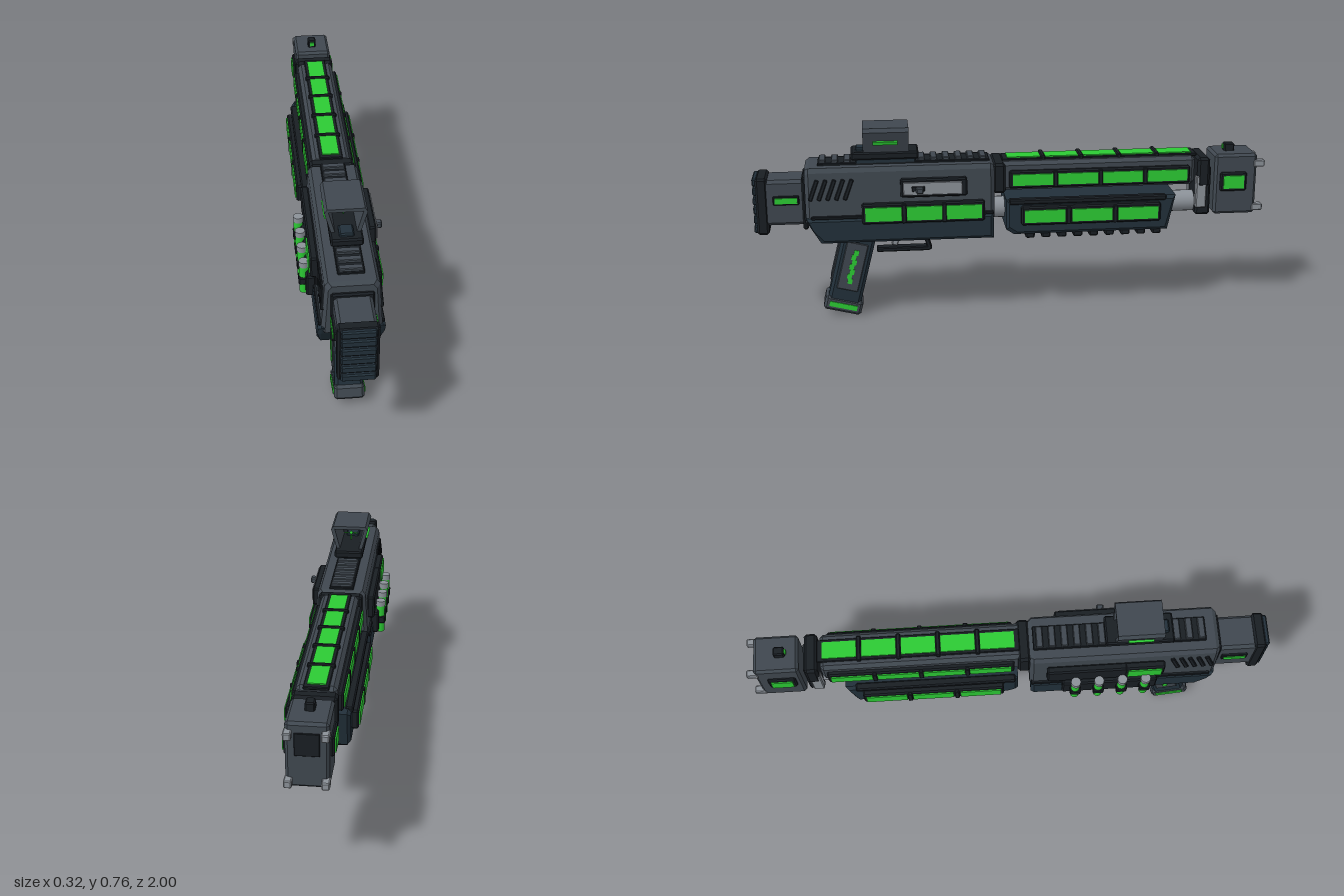
import * as THREE from 'three';
import { ConvexGeometry } from 'three/addons/geometries/ConvexGeometry.js';

const mat = (name, color) => Object.assign(new THREE.MeshStandardMaterial({ color }), { name });

export function createModel() {
  const grey = mat('gunmetal grey', 0x3f474f);
  const navy = mat('dark slate', 0x22303a);
  const black = mat('near black', 0x191e23);
  const green = mat('glow green', 0x2ccb34);
  const steel = mat('light steel', 0x8b9198);

  const root = new THREE.Group();
  root.name = 'blaster';
  const body = new THREE.Group();
  body.name = 'body';
  body.position.x = 0.005;
  root.add(body);

  const add = (name, geo, m, x = 0, y = 0, z = 0, parent = body) => {
    const mesh = new THREE.Mesh(geo, m);
    mesh.name = name;
    mesh.position.set(x, y, z);
    parent.add(mesh);
    return mesh;
  };
  const hull = (pts) => new ConvexGeometry(pts.map((p) => new THREE.Vector3(...p)));
  // box with chamfered edges
  const box = (name, m, w, h, d, x, y, z, c = 0.006, parent = body) => {
    const pts = [];
    for (const i of [-1, 1]) for (const j of [-1, 1]) for (const k of [-1, 1]) {
      const [a, b, e] = [w / 2, h / 2, d / 2];
      pts.push([i * a, j * (b - c), k * (e - c)], [i * (a - c), j * b, k * (e - c)], [i * (a - c), j * (b - c), k * e]);
    }
    const geo = c > 0 ? hull(pts) : new THREE.BoxGeometry(w, h, d);
    return add(name, geo, m, x, y, z, parent);
  };
  // side profile [z, y] spread across x, with chamfered flanks
  const slab = (name, m, profile, half, c = 0.012) => {
    const n = profile.length;
    const cz = profile.reduce((s, p) => s + p[0], 0) / n, cy = profile.reduce((s, p) => s + p[1], 0) / n;
    const pts = [];
    for (const s of [-1, 1]) for (const [z, y] of profile) {
      pts.push([s * (half - c), y, z], [s * half, y - Math.sign(y - cy) * c, z - Math.sign(z - cz) * c]);
    }
    return add(name, hull(pts), m);
  };
  const both = (fn) => [-1, 1].forEach(fn);
  // framed row of glowing windows on one flank
  const windowRow = (name, s, x, y, h, zs, w) => {
    const z0 = Math.min(...zs) - w / 2, z1 = Math.max(...zs) + w / 2;
    box(name + 'Frame', black, 0.03, h + 0.025, z1 - z0 + 0.025, s * (x - 0.015), y, (z0 + z1) / 2);
    zs.forEach((z) => box(name + 'Window', green, 0.008, h, w, s * (x + 0.001), y, z, 0));
    for (let i = 1; i < zs.length; i++)
      box(name + 'Divider', black, 0.014, h + 0.02, 0.018, s * x, y, (zs[i] + zs[i - 1]) / 2, 0.003);
  };

  // upper receiver: tapered cross-section with chamfered ends
  const ring = [[0.107, 0.42], [0.105, 0.45], [0.095, 0.605], [0.083, 0.622]];
  const rec = [];
  both((s) => ring.forEach(([x, y]) => {
    rec.push([s * x, y, 0.09], [s * x, y, 0.785], [s * (x - 0.012), y - 0.01, 0.075], [s * (x - 0.012), y - 0.01, 0.8]);
  }));
  add('upperReceiver', hull(rec), grey);
  slab('lowerReceiver', navy, [[0.08, 0.43], [0.8, 0.43], [0.785, 0.395], [0.745, 0.328], [0.08, 0.328]], 0.118);
  box('receiverSeam', black, 0.232, 0.012, 0.7, 0, 0.432, 0.43, 0.003);
  box('receiverRearPlate', black, 0.15, 0.21, 0.02, 0, 0.48, 0.802);

  // slanted vents
  both((s) => {
    for (let i = 0; i < 5; i++) {
      const v = box('sideVent', black, 0.014, 0.085, 0.016, s * 0.1, 0.54, 0.635 + i * 0.033, 0.003);
      v.rotation.set(-0.36, 0, s * 0.07);
    }
  });

  // receiver windows, left panel, bolt
  windowRow('receiver', 1, 0.131, 0.446, 0.055, [0.197, 0.347, 0.505], 0.138);
  windowRow('leftPanel', -1, 0.128, 0.53, 0.06, [0.515], 0.13);
  box('leftShellPlate', black, 0.03, 0.09, 0.42, -0.112, 0.525, 0.35);
  box('boltFrame', black, 0.03, 0.072, 0.255, 0.112, 0.543, 0.31);
  box('boltPlate', steel, 0.008, 0.05, 0.225, 0.128, 0.543, 0.315, 0.002);
  box('boltSlot', black, 0.008, 0.02, 0.05, 0.132, 0.543, 0.37, 0.002);
  box('boltHandle', grey, 0.045, 0.024, 0.028, 0.133, 0.54, 0.365, 0.004);

  // spare shells on the left flank
  box('shellHolder', black, 0.035, 0.088, 0.37, -0.123, 0.43, 0.385);
  for (const z of [0.25, 0.34, 0.43, 0.52]) {
    add('shellBody', new THREE.CylinderGeometry(0.017, 0.017, 0.115, 12), green, -0.145, 0.433, z);
    add('shellCap', new THREE.CylinderGeometry(0.019, 0.019, 0.022, 12), steel, -0.145, 0.5, z);
    box('shellClip', black, 0.04, 0.03, 0.042, -0.145, 0.43, z, 0.004);
  }

  // top rail
  box('railBase', black, 0.095, 0.014, 0.66, 0, 0.624, 0.42, 0.003);
  for (let i = 0; i < 14; i++) box('railRib', grey, 0.085, 0.016, 0.026, 0, 0.634, 0.115 + i * 0.0475, 0.003);

  // stock
  box('stock', grey, 0.135, 0.18, 0.18, 0, 0.483, 0.875, 0.012);
  box('buttPlate', black, 0.142, 0.225, 0.045, 0, 0.47, 0.965, 0.008);
  for (let i = 0; i < 6; i++) box('buttRib', navy, 0.12, 0.029, 0.02, 0, 0.378 + i * 0.0375, 0.99, 0.005);
  both((s) => {
    box('stockLightFrame', black, 0.014, 0.035, 0.1, s * 0.07, 0.495, 0.873, 0.003);
    box('stockLight', green, 0.009, 0.022, 0.085, s * 0.076, 0.495, 0.873, 0);
  });

  // grip, leaning backwards
  const grip = new THREE.Group();
  grip.name = 'grip';
  grip.position.set(0, 0.335, 0.6);
  grip.rotation.x = -0.25;
  body.add(grip);
  box('gripCore', navy, 0.105, 0.32, 0.13, 0, -0.13, 0, 0.012, grip);
  box('gripBackPanel', grey, 0.078, 0.215, 0.012, 0, -0.1, 0.066, 0.003, grip);
  box('gripBase', grey, 0.112, 0.058, 0.15, 0, -0.298, 0, 0.01, grip);
  both((s) => {
    box('gripSidePanel', grey, 0.008, 0.2, 0.085, s * 0.052, -0.13, 0, 0.003, grip);
    for (let i = 0; i < 7; i++)
      box('gripLight', green, 0.008, 0.021, 0.018, s * 0.056, -0.07 - i * 0.02, i % 2 ? 0.003 : -0.003, 0, grip);
    box('gripBaseLight', green, 0.008, 0.02, 0.11, s * 0.056, -0.298, 0, 0, grip);
  });

  // trigger and guard
  box('guardBar', black, 0.04, 0.018, 0.21, 0, 0.262, 0.43, 0.004);
  box('guardPost', black, 0.04, 0.085, 0.018, 0, 0.297, 0.336, 0.004).rotation.x = 0.28;
  box('guardMount', navy, 0.06, 0.02, 0.24, 0, 0.325, 0.44, 0.004);
  box('trigger', steel, 0.025, 0.07, 0.025, 0, 0.31, 0.455, 0.004).rotation.x = -0.3;

  // sight
  box('sightMount', navy, 0.095, 0.025, 0.23, 0, 0.636, 0.49, 0.004);
  box('sightBase', black, 0.116, 0.03, 0.26, 0, 0.656, 0.493, 0.006);
  box('sightEmitter', navy, 0.052, 0.022, 0.06, 0, 0.672, 0.575, 0.005);
  const poly = (pts, Type) => new Type(pts.map(([x, y]) => new THREE.Vector2(x, y)));
  const hood = poly([[-0.05, 0.66], [0.05, 0.66], [0.076, 0.752], [0.066, 0.767], [-0.066, 0.767], [-0.076, 0.752]], THREE.Shape);
  hood.holes.push(poly([[-0.038, 0.668], [-0.061, 0.754], [0.061, 0.754], [0.038, 0.668]], THREE.Path));
  add('sightHood', new THREE.ExtrudeGeometry(hood, { depth: 0.175, bevelEnabled: false }), grey, 0, 0, 0.4);
  both((s) => {
    box('sightLight', green, 0.009, 0.013, 0.095, s * 0.069, 0.71, 0.49, 0).rotation.z = -s * 0.27;
  });
  add('reticleDot', new THREE.SphereGeometry(0.007, 12, 8), green, 0, 0.71, 0.48);
  for (let i = 0; i < 4; i++) {
    const a = (i * Math.PI) / 2;
    box('reticleTick', green, 0.018, 0.004, 0.004, 0.02 * Math.cos(a), 0.71 + 0.02 * Math.sin(a), 0.48, 0).rotation.z = a;
  }

  // barrel shroud with top and side lights
  box('barrelShroud', grey, 0.145, 0.115, 0.77, 0, 0.563, -0.335, 0.014);
  box('rearCollar', black, 0.17, 0.12, 0.05, 0, 0.558, 0.055, 0.01);
  box('frontCollar', black, 0.158, 0.12, 0.05, 0, 0.555, -0.755, 0.01);
  box('shroudTopFrame', black, 0.09, 0.012, 0.77, 0, 0.62, -0.345, 0.003);
  for (let i = 0; i < 5; i++) {
    box('topLight', green, 0.066, 0.009, 0.13, 0, 0.626, -0.045 - i * 0.15, 0);
    if (i) box('topRib', black, 0.1, 0.022, 0.018, 0, 0.624, 0.03 - i * 0.15, 0.004);
  }
  both((s) => windowRow('shroud', s, 0.09, 0.553, 0.045, [-0.075, -0.252, -0.428, -0.605], 0.158));

  // magazine tube and front bracket
  const tube = add('magazineTube', new THREE.CylinderGeometry(0.042, 0.042, 0.84, 20), steel, 0, 0.42, -0.34);
  tube.rotation.x = Math.PI / 2;
  box('bracket', black, 0.12, 0.2, 0.06, 0, 0.475, -0.76, 0.008);
  both((s) => box('bracketPlate', steel, 0.03, 0.13, 0.042, s * 0.062, 0.475, -0.748, 0.004));

  // sliding forend
  slab('forend', navy, [[0.03, 0.475], [-0.64, 0.475], [-0.61, 0.335], [0.03, 0.355], [0, 0.335]], 0.108);
  both((s) => windowRow('forend', s, 0.132, 0.417, 0.05, [-0.118, -0.303, -0.484], 0.158));
  both((s) => box('forendTopStrip', black, 0.03, 0.022, 0.62, s * 0.1, 0.47, -0.29, 0.005));
  for (let i = 0; i < 9; i++) box('forendRib', black, 0.19, 0.04, 0.036, 0, 0.335, -0.065 - i * 0.063, 0.005);

  // muzzle block
  box('muzzleBlock', grey, 0.148, 0.245, 0.17, 0, 0.502, -0.885, 0.01);
  box('muzzleBore', black, 0.085, 0.085, 0.008, 0, 0.545, -0.971, 0.002);
  box('muzzleSlot', black, 0.07, 0.008, 0.07, 0, 0.379, -0.885, 0.002);
  box('frontSight', black, 0.034, 0.04, 0.042, 0, 0.635, -0.87, 0.005);
  box('frontSightLight', green, 0.016, 0.016, 0.006, 0, 0.64, -0.847, 0);
  both((s) => {
    windowRow('muzzle', s, 0.085, 0.515, 0.052, [-0.875], 0.082);
    for (const y of [0.585, 0.405]) box('muzzleProng', steel, 0.028, 0.028, 0.045, s * 0.063, y, -0.9775, 0.004);
  });
  return root;
}
